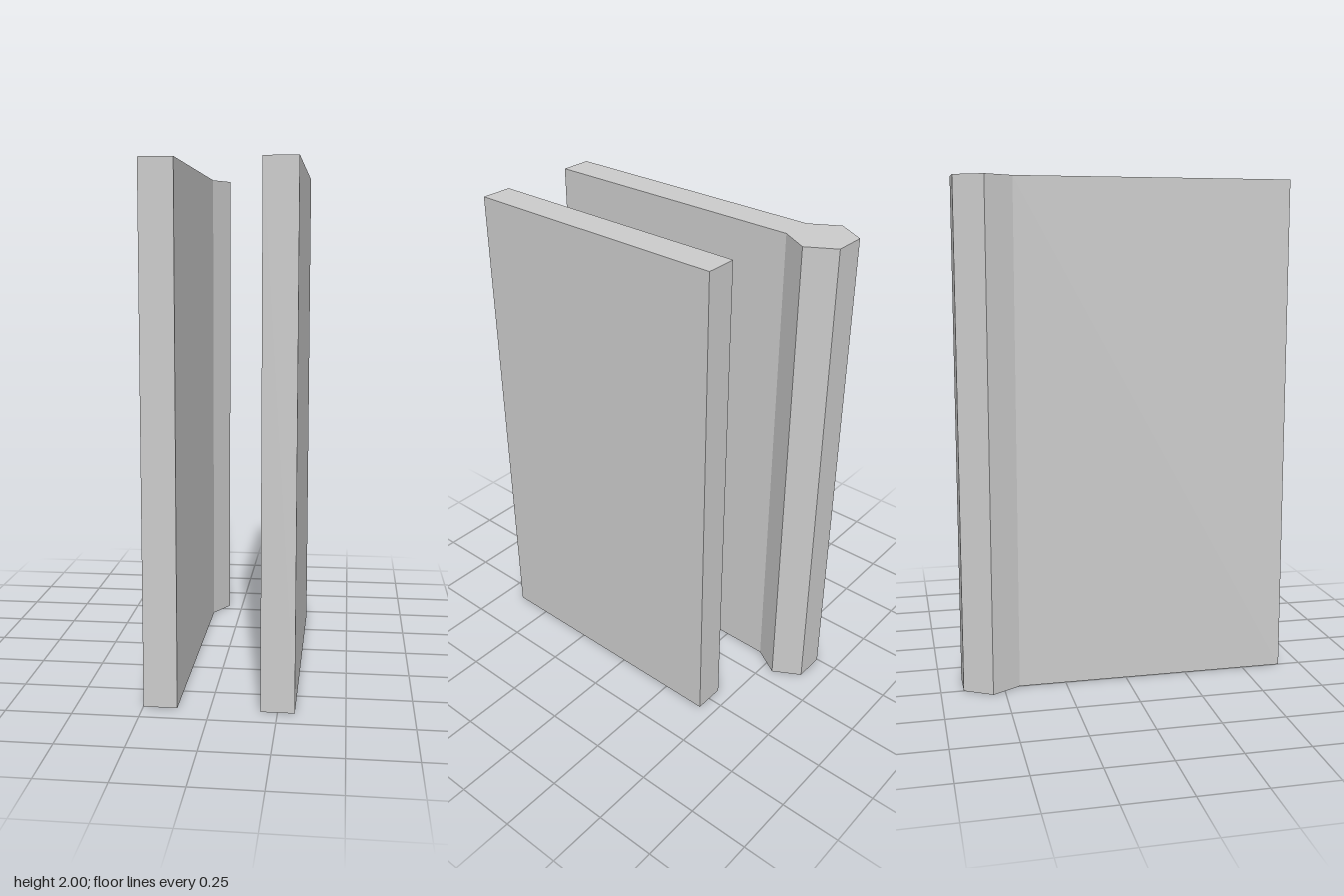
import * as THREE from 'three';

const HEIGHT = 2;
const THICK = 0.127;
const FRONT = 0.66, BACK = -0.437;

// Extrudes a plan outline of [x, z] points straight up from the ground.
function upright(name, outline, material) {
  const shape = new THREE.Shape(outline.map(([x, z]) => new THREE.Vector2(x, -z)));
  const geometry = new THREE.ExtrudeGeometry(shape, { depth: HEIGHT, bevelEnabled: false });
  geometry.rotateX(-Math.PI / 2);
  const mesh = new THREE.Mesh(geometry, material);
  mesh.name = name;
  return mesh;
}

export function createModel() {
  const group = new THREE.Group();
  group.name = 'doublePanel';
  const material = new THREE.MeshStandardMaterial({ color: 0xcccccc, flatShading: true });
  const h = THICK / 2;

  // Plain panel
  const plainX = 0.25;
  group.add(upright('plainPanel', [
    [plainX - h, FRONT], [plainX + h, FRONT], [plainX + h, BACK], [plainX - h, BACK],
  ], material));

  // Panel ending in a hexagonal post along its back edge
  const postX = -0.186, postZ = -0.549, postR = 0.128, postEnd = -0.66;
  group.add(upright('panelWithHexPost', [
    [postX - h, FRONT], [postX + h, FRONT],
    [postX + h, BACK], [postX + postR, postZ], [postX + h, postEnd],
    [postX - h, postEnd], [postX - postR, postZ], [postX - h, BACK],
  ], material));

  return group;
}
